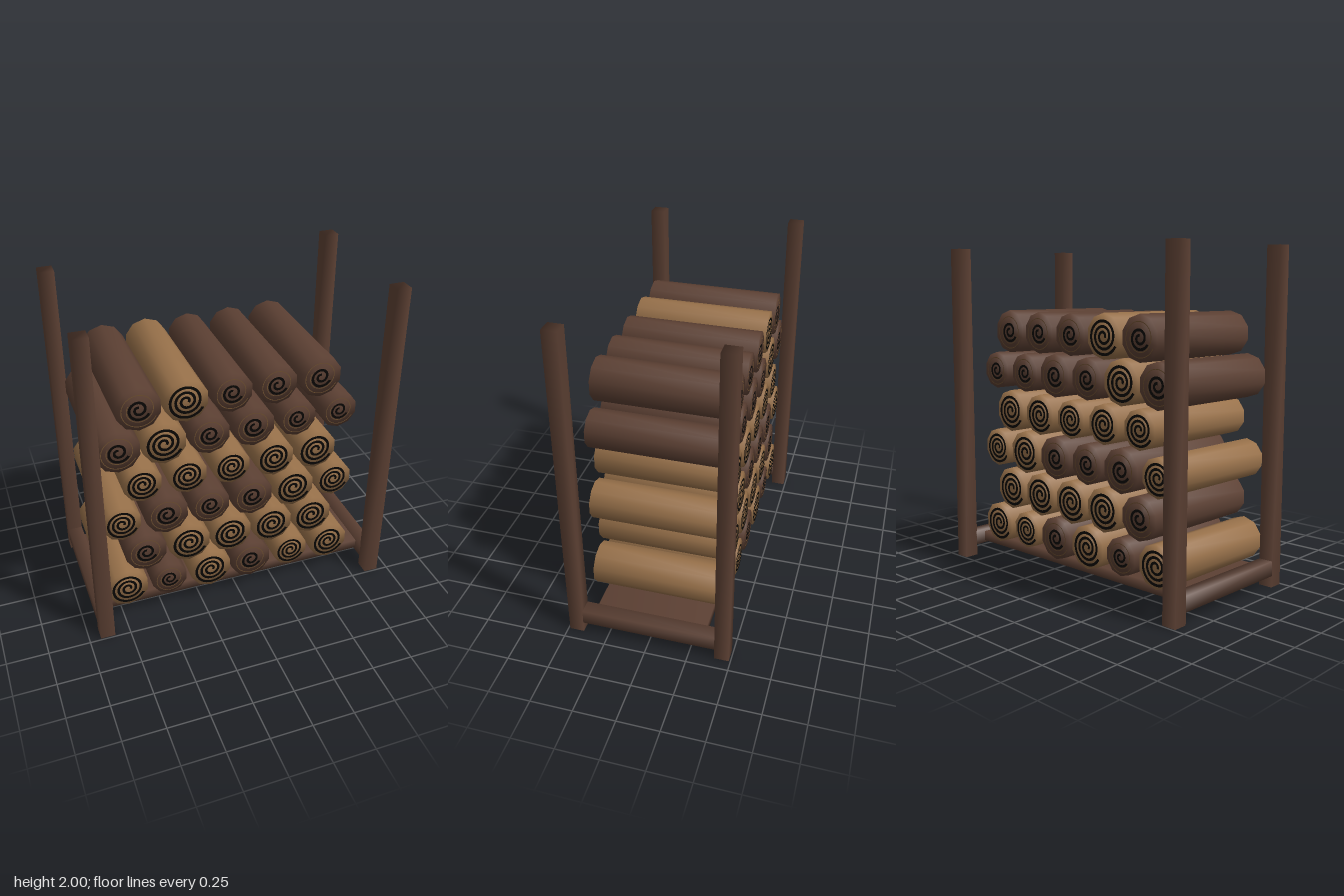
import * as THREE from 'three';
import { mergeVertices } from 'three/addons/utils/BufferGeometryUtils.js';

const paint = (name, color, side = THREE.FrontSide) => {
  const m = new THREE.MeshStandardMaterial({ color, side });
  m.name = name;
  return m;
};

// Shares corner normals so the shading rolls softly over every edge
function soften(geometry) {
  geometry.deleteAttribute('normal');
  geometry.deleteAttribute('uv');
  const g = mergeVertices(geometry);
  g.computeVertexNormals();
  return g;
}

// Flat spiral ribbon lying in the xy plane, facing +z
function spiralGeometry(r0, r1, turns, width, endAngle) {
  const steps = Math.round(turns * 28), pos = [], idx = [];
  for (let i = 0; i <= steps; i++) {
    const t = i / steps;
    const a = endAngle - (1 - t) * turns * Math.PI * 2;
    const r = r0 + (r1 - r0) * t;
    for (const k of [-0.5, 0.5]) {
      pos.push(Math.cos(a) * (r + k * width), Math.sin(a) * (r + k * width), 0);
    }
    if (i < steps) {
      const n = i * 2;
      idx.push(n, n + 1, n + 2, n + 1, n + 3, n + 2);
    }
  }
  const g = new THREE.BufferGeometry();
  g.setAttribute('position', new THREE.Float32BufferAttribute(pos, 3));
  g.setIndex(idx);
  g.computeVertexNormals();
  return g;
}

export function createModel() {
  const model = new THREE.Group();
  model.name = 'firewoodRack';
  const darkWood = paint('darkWood', 0x5c4033);
  const lightWood = paint('lightWood', 0x98714a);
  const ringBlack = paint('ringBlack', 0x080604, THREE.DoubleSide);
  const ringTan = paint('ringTan', 0x6e5030, THREE.DoubleSide);

  const add = (parent, name, geometry, material, x, y, z) => {
    const mesh = new THREE.Mesh(geometry, material);
    mesh.name = name;
    mesh.position.set(x, y, z);
    parent.add(mesh);
    return mesh;
  };

  // Frame: four posts, two side rails, and the floor board
  const post = soften(new THREE.BoxGeometry(0.088, 2, 0.088));
  const rail = soften(new THREE.BoxGeometry(0.088, 0.09, 0.81));
  for (const sx of [-1, 1]) {
    for (const sz of [-1, 1]) add(model, 'post', post, darkWood, sx * 0.888, 1, sz * 0.446);
    add(model, 'sideRail', rail, darkWood, sx * 0.888, 0.115, 0);
  }
  add(model, 'floorBoard', soften(new THREE.BoxGeometry(1.71, 0.062, 0.67)), darkWood, 0, 0.115, 0);

  // Logs: each row lists [x, radius, light wood?]
  const rows = [
    [0.27, [[-0.725, 0.127, 1], [-0.465, 0.111, 0], [-0.2, 0.131, 1], [0.065, 0.13, 0], [0.333, 0.113, 1], [0.597, 0.127, 1]]],
    [0.515, [[-0.6, 0.128, 0], [-0.333, 0.131, 1], [-0.068, 0.131, 1], [0.2, 0.131, 1], [0.465, 0.131, 1]]],
    [0.76, [[-0.733, 0.115, 1], [-0.465, 0.131, 0], [-0.2, 0.122, 0], [0.065, 0.13, 0], [0.333, 0.131, 1], [0.597, 0.117, 1]]],
    [1.005, [[-0.6, 0.115, 1], [-0.333, 0.117, 1], [-0.068, 0.114, 1], [0.2, 0.122, 1], [0.465, 0.128, 1]]],
    [1.25, [[-0.727, 0.13, 0], [-0.465, 0.131, 1], [-0.2, 0.122, 0], [0.065, 0.128, 0], [0.333, 0.116, 0], [0.597, 0.112, 0]]],
    [1.495, [[-0.6, 0.13, 0], [-0.333, 0.129, 1], [-0.068, 0.122, 0], [0.2, 0.122, 0], [0.465, 0.128, 0]]],
  ];
  const logShape = soften(new THREE.CylinderGeometry(1, 1, 0.808, 10).rotateX(Math.PI / 2));
  const fullSpiral = spiralGeometry(0.1, 0.82, 3, 0.125, -0.5);
  const coreSpiral = spiralGeometry(0.1, 0.5, 1.7, 0.12, -0.5);
  const outerSpiral = spiralGeometry(0.5, 0.84, 1.5, 0.035, -0.5);

  for (const [y, logs] of rows) {
    for (const [x, r, light] of logs) {
      const log = new THREE.Group();
      log.name = 'log';
      log.position.set(x, y, 0);
      log.scale.set(r, r, 1);
      add(log, 'logBody', logShape, light ? lightWood : darkWood, 0, 0, 0);
      // Growth rings on both cut ends
      for (const s of [-1, 1]) {
        const end = new THREE.Group();
        end.name = 'growthRings';
        if (s < 0) end.rotation.y = Math.PI;
        add(end, 'ringSpiral', light ? fullSpiral : coreSpiral, ringBlack, 0, 0, 0.408);
        if (!light) add(end, 'outerRing', outerSpiral, ringTan, 0, 0, 0.408);
        log.add(end);
      }
      model.add(log);
    }
  }
  return model;
}
